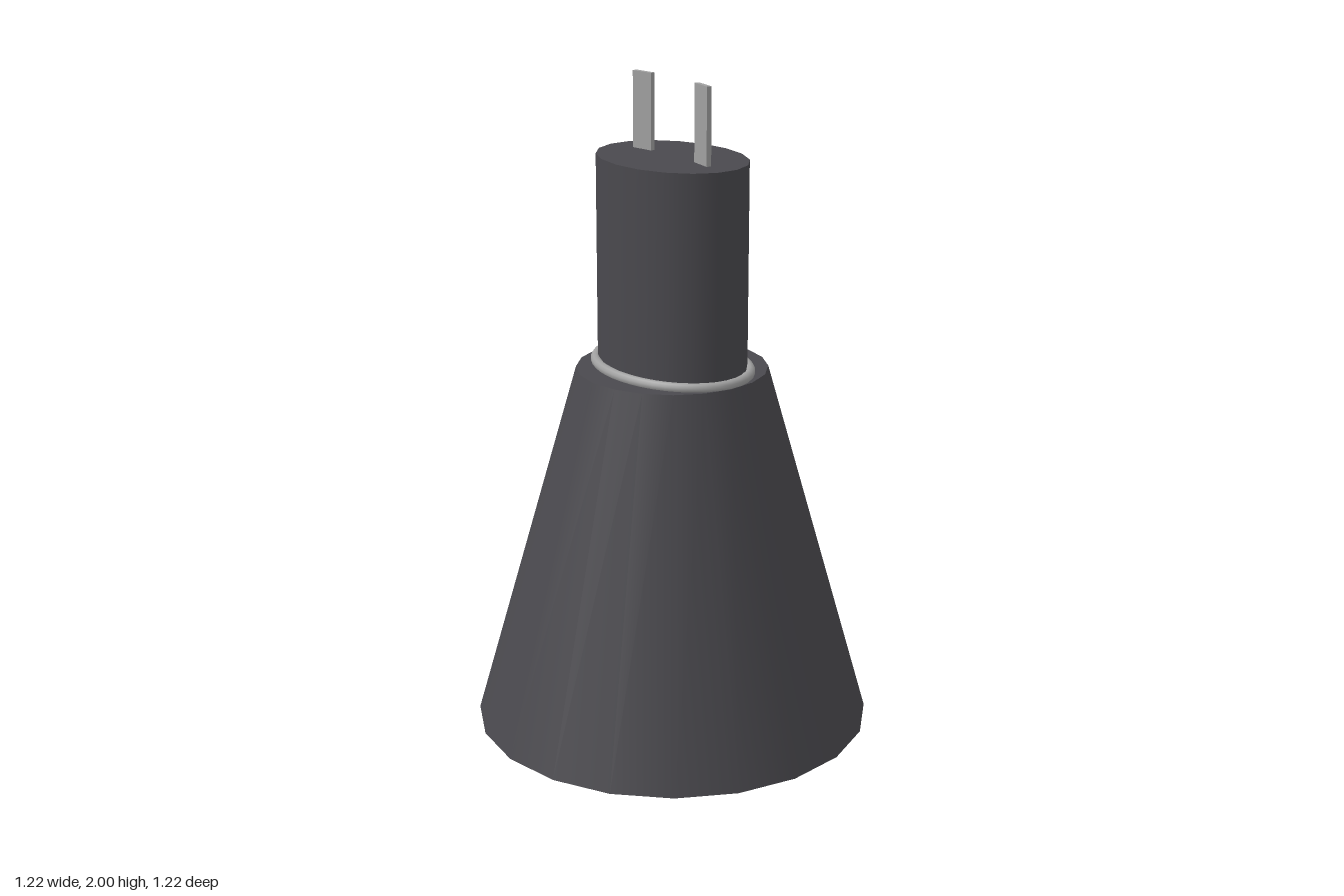
import * as THREE from 'three';

export function createModel() {
  const model = new THREE.Group();
  const dark = new THREE.MeshStandardMaterial({ color: 0x4a494e });
  const metal = new THREE.MeshStandardMaterial({ color: 0xa0a0a0 });

  function add(name, geometry, material, x, y, z) {
    const mesh = new THREE.Mesh(geometry, material);
    mesh.name = name;
    mesh.position.set(x, y, z);
    model.add(mesh);
    return mesh;
  }

  // Tapered round base
  add('base', new THREE.CylinderGeometry(0.29, 0.61, 1.13, 20), dark, 0, 0.565, 0);

  // Oval neck standing on the base
  const neck = new THREE.CylinderGeometry(1, 1, 0.64, 18).scale(0.267, 1, 0.2);
  add('neck', neck, dark, 0, 1.45, 0);

  // Oval trim ring around the foot of the neck, with an even tube thickness
  class Oval extends THREE.Curve {
    getPoint(t, target = new THREE.Vector3()) {
      const a = t * Math.PI * 2;
      return target.set(0.275 * Math.cos(a), 0, 0.205 * Math.sin(a));
    }
  }
  add('trimRing', new THREE.TubeGeometry(new Oval(), 40, 0.016, 10, true), metal, 0, 1.138, 0);

  // Two flat contact blades, turned slightly toward each other
  for (const side of [-1, 1]) {
    const blade = add(side > 0 ? 'leftBlade' : 'rightBlade',
      new THREE.BoxGeometry(0.075, 0.27, 0.015), metal, side * 0.144, 1.865, -0.002);
    blade.rotation.y = -side * 0.16;
  }
  return model;
}
